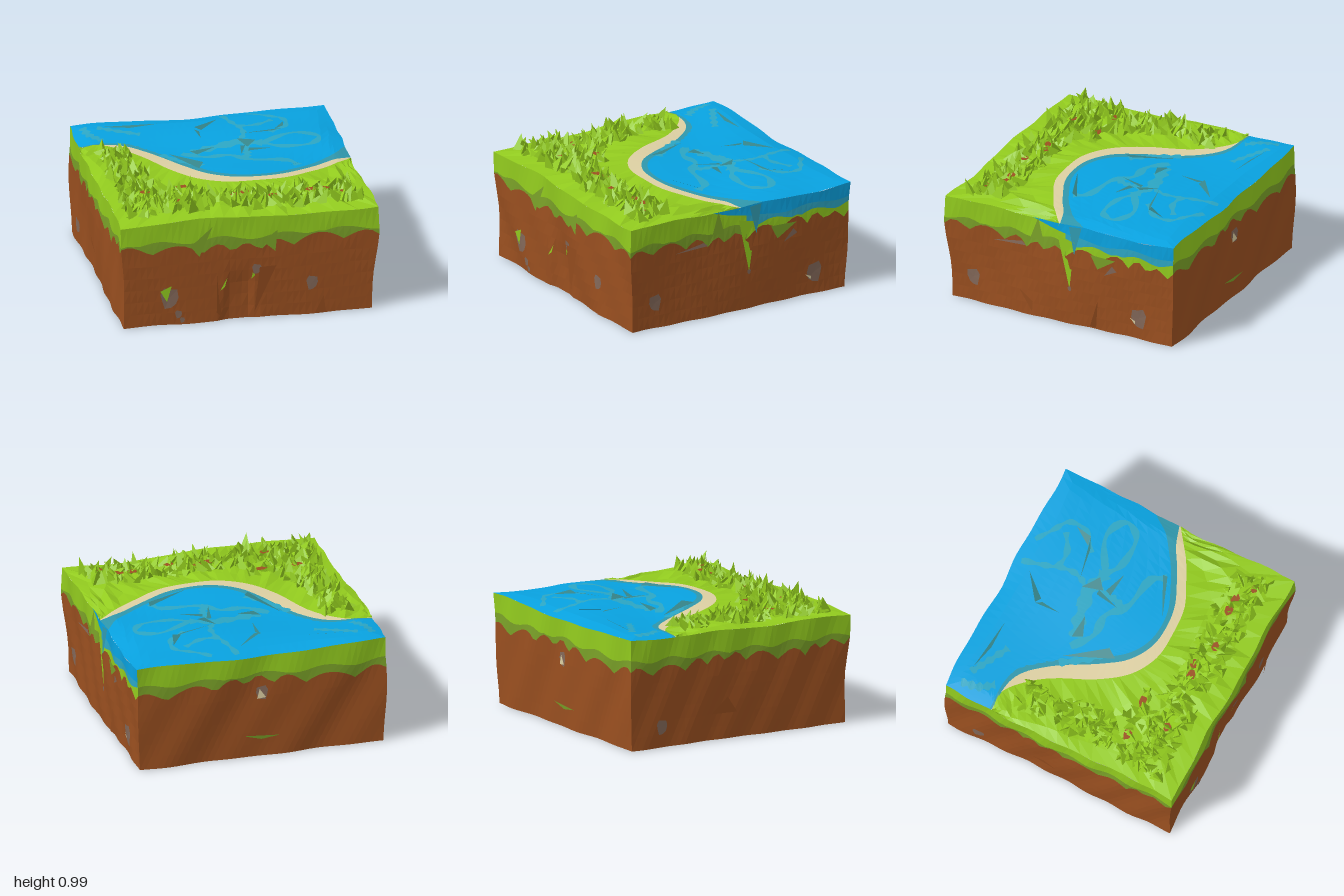
import * as THREE from 'three';
import { mergeGeometries } from 'three/addons/utils/BufferGeometryUtils.js';

const { sin, cos, abs, min, max } = Math;
const mat = (name, color) =>
  Object.assign(new THREE.MeshStandardMaterial({ color, flatShading: true }), { name });

let seed = 7;
const rnd = (a = 0, b = 1) => {
  seed = (seed * 16807) % 2147483647;
  return a + (b - a) * seed / 2147483647;
};

// Gently uneven height of the top surface
const topY = (x, z) => 0.858 + 0.009 * sin(4 * x + 2 * z + 1) + 0.008 * sin(7 * z - 3 * x)
  - 0.02 * max(0, max(abs(x), abs(z)) - 0.88) / 0.12;

// Maps a unit-square position to the slightly tapered, wobbly block
function P(x, z, y) {
  const s = 0.95 + 0.03 * min(1, y / 0.6);
  const w = 1 + 0.009 * sin(7 * x + 4 * z + 4 * y) + 0.006 * sin(13 * x - 17 * z + 9 * y);
  const arch = z === 1 ? max(0, min(1, (0.42 - y) * 6, (0.16 - abs(x + 0.08) - 0.15 * y) * 16)) : 0;
  return new THREE.Vector3(x * s * w, y, z * (s - 0.017) * w - 0.025 * arch);
}

// Quad strip surface from f(column, row); columns run right and rows run up
function surface(j0, j1, nk, f) {
  const pos = [], idx = [], row = nk + 1;
  for (let j = j0; j <= j1; j++) for (let k = 0; k <= nk; k++) pos.push(...f(j, k).toArray());
  for (let j = 0; j < j1 - j0; j++) for (let k = 0; k < nk; k++) {
    const a = j * row + k, b = a + row;
    idx.push(a, b, b + 1, a, b + 1, a + 1);
  }
  const g = new THREE.BufferGeometry();
  g.setAttribute('position', new THREE.Float32BufferAttribute(pos, 3));
  g.setIndex(idx);
  g.computeVertexNormals();
  return g;
}

// Fan of triangles around the centre of a ring of points
function fan(pts) {
  const c = pts.reduce((s, p) => s.add(p), new THREE.Vector3()).divideScalar(pts.length);
  return surface(0, pts.length, 1, (j, k) => (k ? c : pts[j % pts.length]));
}

export function createModel() {
  const model = new THREE.Group();
  const grass = mat('grass', 0x92cb1e), darkGrass = mat('dark grass', 0x7aa128),
    soil = mat('soil', 0x9b5020), stone = mat('stone', 0x84695a), sand = mat('sand', 0xdccfa2),
    water = mat('water', 0x08a2e0), aqua = mat('aqua', 0x2ca6c4), teal = mat('teal', 0x2f97ac);
  const add = (name, geometry, material) => {
    const m = new THREE.Mesh(geometry, material);
    m.name = name;
    model.add(m);
  };

  // Walls: one ring of columns, 40 per side, starting at the front
  const n = 40;
  const ring = (j) => {
    const t = -1 + 2 * (j % n) / n;
    return [[t, 1], [1, -t], [-t, -1], [-1, t]][Math.floor(j / n) % 4];
  };
  const inlet = (x, z) => (x === 1 ? min(1, max(0, (0.25 - z) / 0.35)) : 0);
  const levels = (x, z) => {
    const u = x + z * 1.3, y = topY(x, z);
    const edge = 0.575 + 0.075 * abs(sin(11 * u + 0.8 * sin(5 * u))) + 0.02 * sin(4 * u);
    const mid = 0.68 + 0.018 * sin(13 * u);
    const low = 0.735 + 0.012 * sin(9 * u);
    return [edge, max(mid, edge + 0.012), y + (low - y) * inlet(x, z), y];
  };
  const band = (name, material, lo, hi, j0, j1) =>
    add(name, surface(j0, j1, 1, (j, k) => {
      const [x, z] = ring(j);
      return P(x, z, levels(x, z)[k ? hi : lo]);
    }), material);
  add('soilWall', surface(0, 4 * n, 6, (j, k) => {
    const [x, z] = ring(j);
    return P(x, z, k < 6 ? k * 0.1 : levels(x, z)[0]);
  }), soil);
  const w0 = 55, w1 = 80;
  band('lowerGrassFront', darkGrass, 0, 1, 0, 61);
  band('lowerGrassRight', grass, 0, 1, 61, w1);
  band('lowerGrassBack', darkGrass, 0, 1, w1, 4 * n);
  band('upperGrassFront', grass, 1, 3, 0, w0);
  band('bankGrass', grass, 1, 2, w0, 61);
  band('waterShallowEdge', aqua, 1, 2, 61, w1);
  band('waterEdge', water, 2, 3, w0, w1);
  band('upperGrassBack', grass, 1, 3, w1, 4 * n);
  add('underside', fan(Array.from({ length: 4 * n }, (_, j) => P(...ring(4 * n - j), 0))), soil);

  // Top: nested lines from the land rim across the shore to the back rim
  const v = (list) => list.map(([x, z]) => new THREE.Vector3(x, 0, z));
  const rim = (list) => (t) => {
    const p = v(list), i = min(Math.floor(t * 9 + 1e-6), 8);
    return p[i].lerp(p[i + 1], t * 9 - i);
  };
  const shore = (list) => {
    const c = new THREE.CatmullRomCurve3(v(list));
    return (t) => c.getPoint(t);
  };
  const landRim = rim([[-1, -0.58], [-1, -0.2], [-1, 0.3], [-1, 1], [-0.4, 1], [0.1, 1], [0.6, 1], [1, 1], [1, 0.5], [1, 0.02]]);
  const sandOut = shore([[-1, -0.58], [-0.82, -0.57], [-0.62, -0.38], [-0.41, 0.02], [-0.24, 0.25], [-0.05, 0.36], [0.17, 0.38], [0.42, 0.35], [0.85, 0.13], [1, 0.01]]);
  const sandIn = shore([[-1, -0.585], [-0.67, -0.54], [-0.48, -0.35], [-0.28, 0], [-0.15, 0.18], [0.03, 0.29], [0.22, 0.31], [0.45, 0.26], [0.86, 0.05], [1, 0]]);
  const shallow = shore([[-1, -0.6], [-0.62, -0.565], [-0.43, -0.36], [-0.22, 0], [-0.1, 0.16], [0.05, 0.25], [0.23, 0.27], [0.44, 0.215], [0.84, -0.02], [1, -0.2]]);
  const backRim = rim([[-1, -0.6], [-1, -0.8], [-1, -1], [-0.7, -1], [-0.35, -1], [0, -1], [0.35, -1], [0.7, -1], [1, -1], [1, -0.2]]);
  const strip = (a, b, cols, rows, rough = 0) => surface(0, cols, rows, (j, k) => {
    const p = a(j / cols).lerp(b(j / cols), k / rows);
    const bump = k > 0 && k < rows ? rnd(-rough, rough) : 0;
    return P(p.x, p.z, topY(p.x, p.z) + bump);
  });
  add('meadow', strip(landRim, sandOut, 45, 4, 0.02), grass);
  add('beach', strip(sandOut, sandIn, 45, 1), sand);
  add('shallows', strip(sandIn, shallow, 45, 1), teal);
  add('lake', strip(shallow, backRim, 45, 10), water);

  // Pale currents on the lake, with a half width each
  const currents = [
    [0.022, [0.18, -0.94], [0.22, -0.78], [0.26, -0.68], [0.4, -0.67], [0.54, -0.75]],
    [0.022, [0.38, -0.93], [0.52, -0.85], [0.63, -0.78], [0.62, -0.62], [0.48, -0.5]],
    [0.022, [0.26, -0.68], [0.27, -0.52], [0.22, -0.42], [0.05, -0.37]],
    [0.025, [0.38, -0.32], [0.66, -0.46], [0.82, -0.36], [0.74, -0.24], [0.5, -0.24], [0.38, -0.32]],
    [0.05, [-0.18, -0.28], [-0.04, -0.32], [0.2, -0.36], [0.38, -0.32]],
    [0.03, [-0.26, -0.28], [-0.1, -0.16], [0.08, -0.16], [0.22, -0.04], [0.5, 0.02], [0.56, 0.12]],
    [0.03, [0.24, -0.3], [0.23, -0.18], [0.2, -0.06]],
    [0.03, [-0.92, -0.9], [-0.88, -0.75], [-0.8, -0.64]],
    [0.025, [-0.8, -0.86], [-0.66, -0.78], [-0.5, -0.7]],
    [0.03, [-0.42, -0.3], [-0.3, -0.12], [-0.16, 0.02]],
  ];
  add('currents', mergeGeometries(currents.map(([width, ...list]) => {
    const c = new THREE.CatmullRomCurve3(v(list));
    return surface(0, 24, 1, (j, k) => {
      const p = c.getPoint(j / 24), d = c.getTangent(j / 24);
      const r = (k ? 1 : -1) * width * (0.9 + 0.35 * sin(j * 1.1));
      p.x += d.z * r;
      p.z -= d.x * r;
      return P(p.x, p.z, topY(p.x, p.z) + 0.006);
    });
  })), aqua);

  // Sharp folds in the water: each has one raised corner
  const folds = [
    [[-0.76, -0.86], [-0.34, -0.83], [-0.55, -0.81]], [[0.13, -0.85], [-0.08, -0.69], [-0.03, -0.66]],
    [[-0.08, -0.69], [-0.07, -0.48], [-0.05, -0.64]], [[0.62, -0.7], [0.59, -0.56], [0.52, -0.55]],
    [[0.59, -0.56], [0.25, -0.47], [0.5, -0.52]], [[0.2, -0.43], [0.33, -0.34], [0.25, -0.27]],
    [[0.24, -0.3], [0.17, -0.1], [0.2, -0.3]], [[0.26, -0.25], [0.44, -0.18], [0.24, -0.2]],
    [[-0.19, -0.31], [0.0, -0.29], [-0.15, -0.23]], [[-0.36, -0.3], [-0.15, 0], [-0.2, 0.08]],
    [[0.57, 0.08], [0.57, 0.12], [0.25, 0.25]],
  ];
  const foldMat = mat('deep teal', 0x35858a);
  foldMat.side = THREE.DoubleSide;
  add('waterFolds', mergeGeometries(folds.map((f) => fan(f.map(([x, z], i) =>
    P(x, z, topY(x, z) + (i === 1 ? 0.026 : 0.008))).reverse()))), foldMat);

  // Grass blades, thick along the left and front of the meadow
  const blades = [];
  while (blades.length < 360) {
    const x = rnd(-0.9, 0.92), z = rnd(-0.46, 0.85);
    const left = x < -0.64 + 0.3 * max(0, z) && x > -0.88 && rnd() < 0.7;
    const front = z > (x < -0.3 ? 0.42 : 0.57);
    if (!left && !front) continue;
    const r = rnd(0.028, 0.06), h = rnd(0.05, 0.14);
    const g = new THREE.ConeGeometry(r, h, 3, 1, true).translate(0, h / 2 - 0.012, 0);
    g.rotateY(rnd(0, 6.28)).rotateX(rnd(-0.6, 0.6)).rotateZ(rnd(-0.6, 0.6));
    const p = P(x, z, topY(x, z));
    blades.push(g.translate(p.x, p.y, p.z));
  }
  add('grassBlades', mergeGeometries(blades), grass);

  // Bare earth showing between the blades
  const earth = [[-0.7, 0.45], [-0.4, 0.43], [0.04, 0.64], [-0.52, 0.7], [0.24, 0.72], [0.55, 0.68], [0.8, 0.78], [0.66, 0.69], [-0.05, 0.67]];
  add('bareEarth', mergeGeometries(earth.map(([x, z]) => fan(Array.from({ length: 6 }, (_, i) => {
    const a = i * Math.PI / 3, r = rnd(0.03, 0.06);
    return P(x + r * cos(a), z - r * 0.7 * sin(a), topY(x, z) + 0.04);
  })))), soil);

  // Thin wall pieces; points are [along, up, lift]
  const sides = { front: [0, 1], right: [1, 0], back: [0, -1], left: [-1, 0] };
  const plate = (name, side, pts, material) => {
    const [nx, nz] = sides[side];
    const ps = pts.map(([u, y, lift = 0.006]) =>
      P(nx || u, nz || u, y).add(new THREE.Vector3(nx * lift, 0, nz * lift)));
    const area = pts.reduce((s, p, i) => {
      const q = pts[(i + 1) % pts.length];
      return s + p[0] * q[1] - q[0] * p[1];
    }, 0);
    if ((area > 0) !== (side === 'front' || side === 'left')) ps.reverse();
    add(name, fan(ps), material);
  };
  const rock = (side, u, y, r) => plate('stone', side, Array.from({ length: 9 }, (_, i) => {
    const a = i * Math.PI * 2 / 9, q = r * (0.9 + 0.15 * sin(i * 2.3));
    return [u + q * 0.9 * cos(a), y + q * 1.1 * sin(a)];
  }), stone);
  [['front', -0.63, 0.23, 0.09], ['front', -0.56, 0.09, 0.035], ['front', -0.53, 0.04, 0.025],
    ['front', 0.5, 0.26, 0.06], ['front', 0.06, 0.41, 0.045], ['right', 0.79, 0.21, 0.07],
    ['right', -0.7, 0.18, 0.085], ['right', -0.08, 0.3, 0.02],
    ['back', 0, 0.53, 0.06], ['left', -0.72, 0.16, 0.06]].forEach((r) => rock(...r));
  plate('stoneWedge', 'right', [[-0.39, 0.48], [-0.5, 0.54], [-0.46, 0.58]], stone);
  plate('stoneSliver', 'right', [[0.6, 0.57], [0.3, 0.58], [0.34, 0.61]], stone);
  plate('grassTooth', 'right', [[0.02, 0.73], [-0.08, 0.3], [-0.13, 0.7]], grass);
  plate('waterTooth', 'right', [[-0.08, 0.82], [-0.13, 0.6], [-0.19, 0.83]], teal);
  plate('grassTooth', 'right', [[-0.27, 0.63], [-0.33, 0.52], [-0.49, 0.63]], darkGrass);
  plate('grassTooth', 'right', [[0.26, 0.66], [0.2, 0.83], [0.15, 0.65]], darkGrass);
  plate('grassTooth', 'front', [[-0.46, 0.64], [-0.39, 0.55], [-0.29, 0.78]], darkGrass);
  plate('grassTooth', 'front', [[0.1, 0.64], [0.2, 0.55], [0.22, 0.72]], darkGrass);
  plate('grassFleck', 'front', [[-0.7, 0.29, 0.009], [-0.65, 0.2, 0.009], [-0.61, 0.33, 0.009]], grass);
  plate('grassFleck', 'front', [[-0.23, 0.25], [-0.19, 0.28], [-0.17, 0.35]], grass);
  plate('grassFleck', 'front', [[0.02, 0.32, 0.009], [0.05, 0.36, 0.009], [0.03, 0.38, 0.009]], grass);
  plate('sandFleck', 'right', [[-0.62, 0.17, 0.009], [-0.67, 0.12, 0.009], [-0.67, 0.15, 0.009]], sand);
  plate('sandFleck', 'back', [[0.02, 0.56, 0.009], [-0.03, 0.49, 0.009], [0.04, 0.48, 0.009]], sand);
  plate('grassFleck', 'back', [[0.15, 0.18], [-0.15, 0.16], [0, 0.14]], darkGrass);
  plate('soilShard', 'right', [[0.37, 0.2, 0.002], [0.26, 0.03, 0.002], [0.24, 0.13, 0.03]], soil);
  plate('soilShard', 'right', [[-0.33, 0.25, 0.002], [-0.31, 0.01, 0.002], [-0.27, 0.03, 0.03]], soil);
  plate('soilShard', 'left', [[-0.25, 0.2, 0.002], [-0.02, 0.2, 0.002], [-0.12, 0.33, 0.025]], soil);
  plate('soilShard', 'front', [[0.6, 0.14, 0.002], [0.62, 0.0, 0.002], [0.52, 0.01, 0.02]], soil);
  plate('soilShard', 'front', [[-0.25, 0.4, 0.002], [-0.26, 0.08, 0.02], [-0.21, 0.02, 0.002]], soil);
  plate('soilShard', 'front', [[0.05, 0.04, 0.002], [0.21, 0.43, 0.002], [0.08, 0.43, 0.02]], soil);
  add('undersideStone', fan([[0.66, 0.5], [-0.17, 0.16], [-0.17, 0.12], [0.66, 0.47]]
    .map(([x, z]) => new THREE.Vector3(x, -0.002, z)).reverse()), stone);
  return model;
}
